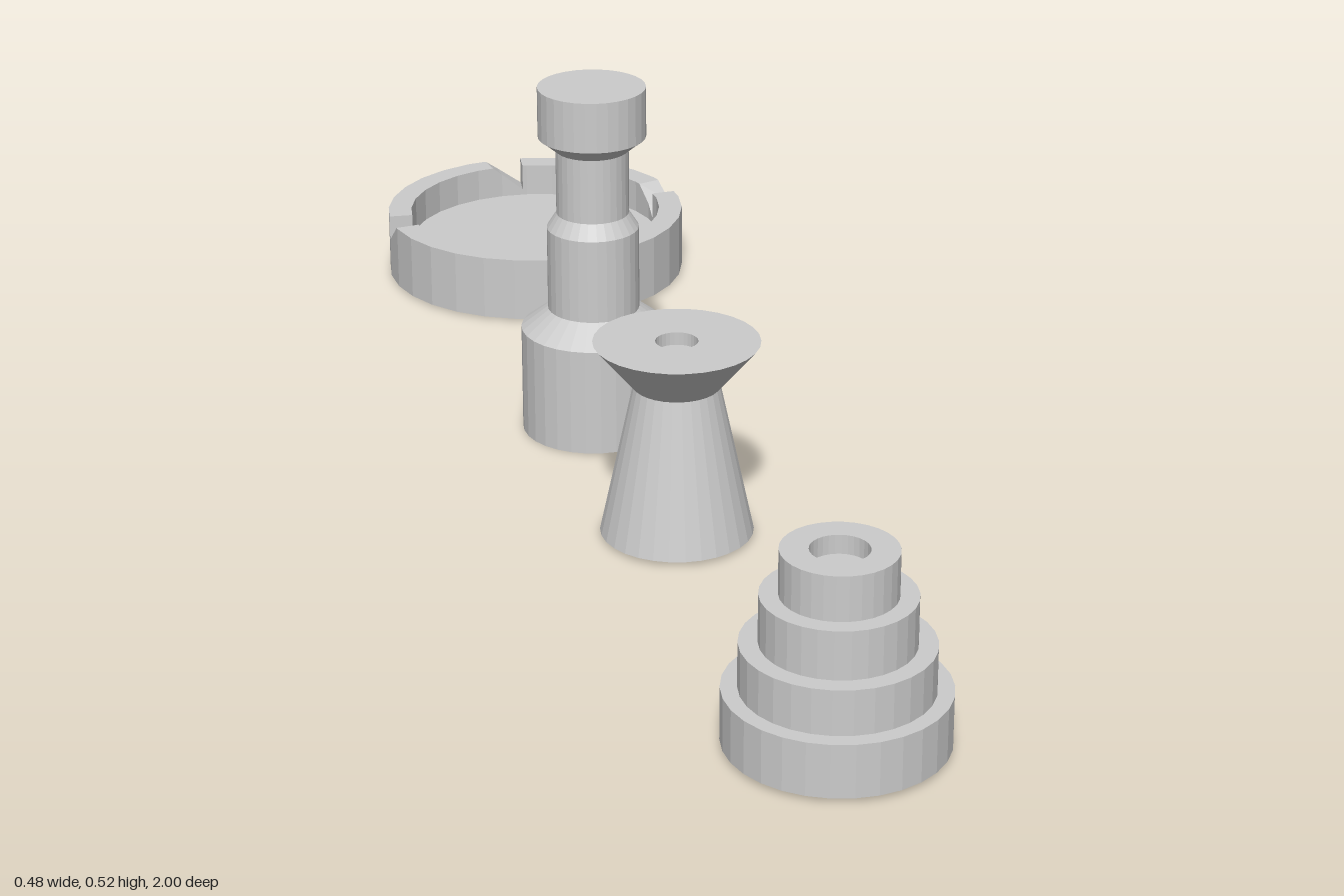
import * as THREE from 'three';

const SIDES = 30;
const material = new THREE.MeshStandardMaterial({ color: 0xcccccc, flatShading: true });

// Turned solid from a [radius, height] profile, listed from bottom to top
function turned(name, profile, x, z) {
  const points = profile.map(([r, y]) => new THREE.Vector2(r, y));
  const mesh = new THREE.Mesh(new THREE.LatheGeometry(points, SIDES), material);
  mesh.name = name;
  mesh.position.set(x, 0, z);
  return mesh;
}

// Shallow dish whose rim has wedge notches: a steep wall, then a ramp back up
function notchedDish() {
  const outer = 0.239, inner = 0.202, bottom = 0.003, floor = 0.05, top = 0.102, cut = 0.059;
  const step = 360 / SIDES;
  const notches = [[-3.1, 10.4], [90, 104.5], [170, 184.5], [262, 275]];

  // Rim stations: [angle, rim height]
  const stations = [];
  for (const [start, end] of notches) stations.push([start, top], [start, cut], [end, top]);
  for (let i = 0; i < SIDES; i++) {
    const a = i * step;
    let height = top;
    for (const [start, end] of notches) {
      if (a > start && a < end) height = cut + (top - cut) * (a - start) / (end - start);
    }
    if (!notches.some(([start, end]) => a === start || a === end)) stations.push([a, height]);
  }
  stations.sort((p, q) => p[0] - q[0]); // stable, so each steep wall keeps its order
  stations.push([stations[0][0] + 360, stations[0][1]]);

  // Cross-section at a station, kept on the flat sides of the polygon
  const section = ([angle, height]) => {
    const within = ((angle % step) + step) % step - step / 2;
    const rad = THREE.MathUtils.degToRad;
    const k = Math.cos(rad(step / 2)) / Math.cos(rad(within));
    const s = Math.sin(rad(angle)) * k, c = Math.cos(rad(angle)) * k;
    return [[0, bottom], [outer, bottom], [outer, height], [inner, height], [inner, floor], [0, floor]]
      .map(([r, y]) => [r * s, y, r * c]);
  };

  const positions = [];
  for (let i = 0; i < stations.length - 1; i++) {
    const p = section(stations[i]), q = section(stations[i + 1]);
    for (let k = 0; k < p.length - 1; k++) {
      positions.push(...p[k], ...q[k], ...q[k + 1], ...p[k], ...q[k + 1], ...p[k + 1]);
    }
  }
  const geometry = new THREE.BufferGeometry();
  geometry.setAttribute('position', new THREE.Float32BufferAttribute(positions, 3));
  geometry.computeVertexNormals();
  const mesh = new THREE.Mesh(geometry, material);
  mesh.name = 'notchedDish';
  mesh.position.z = -0.761;
  return mesh;
}

export function createModel() {
  const group = new THREE.Group();
  group.name = 'turnedPieces';

  // Four-tier stepped piece with a shallow hole on top
  group.add(turned('steppedPiece', [
    [0, 0.006], [0.141, 0.006], [0.141, 0.077], [0.12, 0.077], [0.12, 0.137],
    [0.096, 0.137], [0.096, 0.201], [0.0725, 0.201], [0.0725, 0.26],
    [0.037, 0.26], [0.037, 0.235], [0, 0.235],
  ], -0.095, 0.859));

  // Waisted piece with a flared head and a small hole
  group.add(turned('flaredPiece', [
    [0, 0.006], [0.105, 0.006], [0.059, 0.219], [0.113, 0.283],
    [0.029, 0.283], [0.029, 0.265], [0, 0.265],
  ], -0.095, 0.253));

  // Tall pillar with a heavy foot, tapered shoulders and a cap
  group.add(turned('pillarPiece', [
    [0, 0], [0.105, 0], [0.105, 0.157], [0.066, 0.187], [0.066, 0.31],
    [0.052, 0.332], [0.052, 0.427], [0.0675, 0.44], [0.077, 0.447],
    [0.077, 0.52], [0, 0.52],
  ], -0.095, -0.126));

  group.add(notchedDish());
  return group;
}
